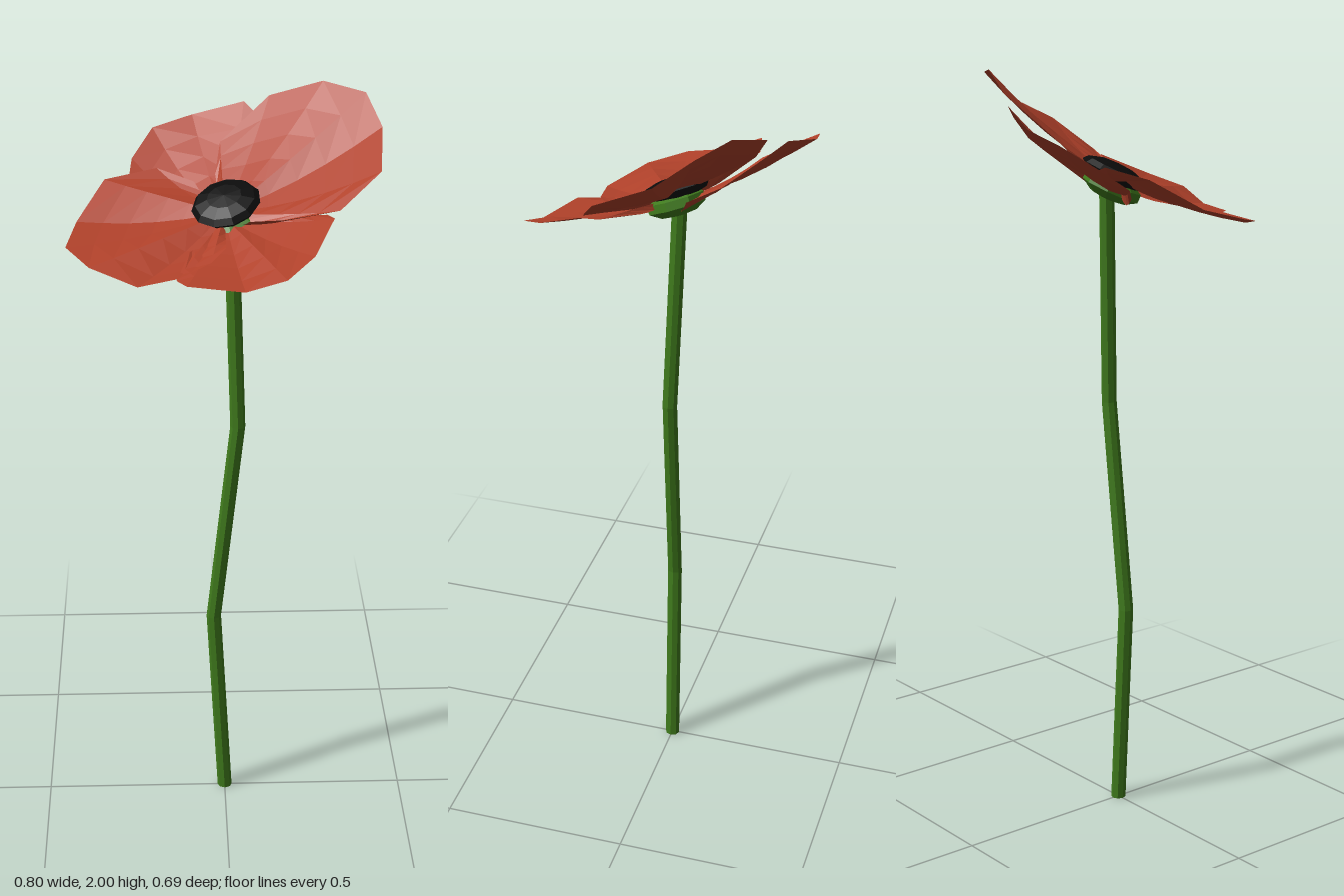
import * as THREE from 'three';

const material = (color) => new THREE.MeshStandardMaterial({ color, flatShading: true, side: THREE.DoubleSide, roughness: 0.8 });

// Petal lofted from the flower's heart out to a rim, with a gentle cup and folds
function petalGeometry(rim, baseY, cup) {
  const rows = 5, pos = [], idx = [], n = rim.length;
  for (let i = 0; i <= rows; i++) {
    const t = 0.1 + 0.9 * i / rows;
    rim.forEach(([x, y, z], j) => {
      const fold = (j % 3 === 1 ? 0.008 : -0.004) * Math.sin(Math.PI * t);
      pos.push(x * t, baseY + (y - baseY) * t + cup * (t * t - t) + fold, z * t);
    });
  }
  for (let i = 0; i < rows; i++) {
    for (let j = 0; j < n - 1; j++) {
      const a = i * n + j, b = a + n;
      idx.push(a, a + 1, b, b, a + 1, b + 1);
    }
  }
  const g = new THREE.BufferGeometry();
  g.setAttribute('position', new THREE.Float32BufferAttribute(pos, 3));
  g.setIndex(idx);
  g.computeVertexNormals();
  return g;
}

export function createModel() {
  const flower = new THREE.Group();
  flower.name = 'flower';
  const red = material(0xb0412a), green = material(0x3f7a1c), black = material(0x0c0c0c);
  const add = (name, geometry, mat) => {
    const mesh = new THREE.Mesh(geometry, mat);
    mesh.name = name;
    flower.add(mesh);
    return mesh;
  };

  // Stem: an eight-sided rod bent at two joints
  const joints = [[0, 0, 0], [-0.03, 0.56, 0.002], [0.035, 1.13, -0.003], [0.018, 1.7, -0.024]];
  const stem = new THREE.CylinderGeometry(0.02, 0.02, 3, 8, 3);
  const p = stem.attributes.position;
  for (let i = 0; i < p.count; i++) {
    const [x, y, z] = joints[Math.round(p.getY(i) + 1.5)];
    p.setXYZ(i, p.getX(i) + x, y, p.getZ(i) + z);
  }
  add('stem', stem, green);

  // Petals: the side pair overlaps the front and back pair
  add('leftPetal', petalGeometry([
    [0.0, 1.68, 0.145], [-0.04, 1.655, 0.19], [-0.12, 1.63, 0.23], [-0.22, 1.615, 0.245],
    [-0.34, 1.64, 0.17], [-0.4, 1.66, 0.075], [-0.375, 1.69, -0.035],
    [-0.305, 1.765, -0.15], [-0.17, 1.785, -0.18], [-0.075, 1.765, -0.125],
  ], 1.722, 0.04), red);
  add('rightPetal', petalGeometry([
    [-0.02, 1.78, -0.14], [-0.005, 1.845, -0.21], [0.125, 1.95, -0.27], [0.26, 2.0, -0.22],
    [0.365, 1.985, -0.16], [0.4, 1.92, -0.07], [0.385, 1.85, 0.08],
    [0.28, 1.77, 0.14], [0.145, 1.735, 0.105], [0.06, 1.72, 0.07],
  ], 1.722, 0.06), red);
  add('backPetal', petalGeometry([
    [-0.2, 1.705, -0.12], [-0.247, 1.735, -0.165], [-0.235, 1.79, -0.25], [-0.18, 1.85, -0.33],
    [-0.075, 1.88, -0.345], [0.06, 1.925, -0.305], [0.105, 1.89, -0.255],
    [0.16, 1.83, -0.17], [0.12, 1.76, -0.07],
  ], 1.705, 0.1), red);
  add('frontPetal', petalGeometry([
    [-0.09, 1.66, 0.12], [-0.125, 1.625, 0.23], [-0.1, 1.63, 0.285], [0.04, 1.63, 0.33],
    [0.14, 1.665, 0.345], [0.21, 1.7, 0.275], [0.265, 1.755, 0.155],
    [0.25, 1.75, 0.11], [0.16, 1.73, 0.05],
  ], 1.71, 0.03), red);

  // Dark heart and green cup, both squashed and leaning with the bloom
  const lean = new THREE.Quaternion().setFromUnitVectors(
    new THREE.Vector3(0, 1, 0), new THREE.Vector3(-0.256, 1, 0.39).normalize());
  const heart = add('heart', new THREE.SphereGeometry(1, 11, 6), black);
  heart.scale.set(0.09, 0.028, 0.09);
  heart.position.set(0.004, 1.742, -0.012);
  const cup = add('greenCup', new THREE.SphereGeometry(1, 8, 5), green);
  cup.scale.set(0.082, 0.036, 0.082);
  cup.position.set(0.012, 1.706, -0.012);
  heart.quaternion.copy(lean);
  cup.quaternion.copy(lean);

  return flower;
}
